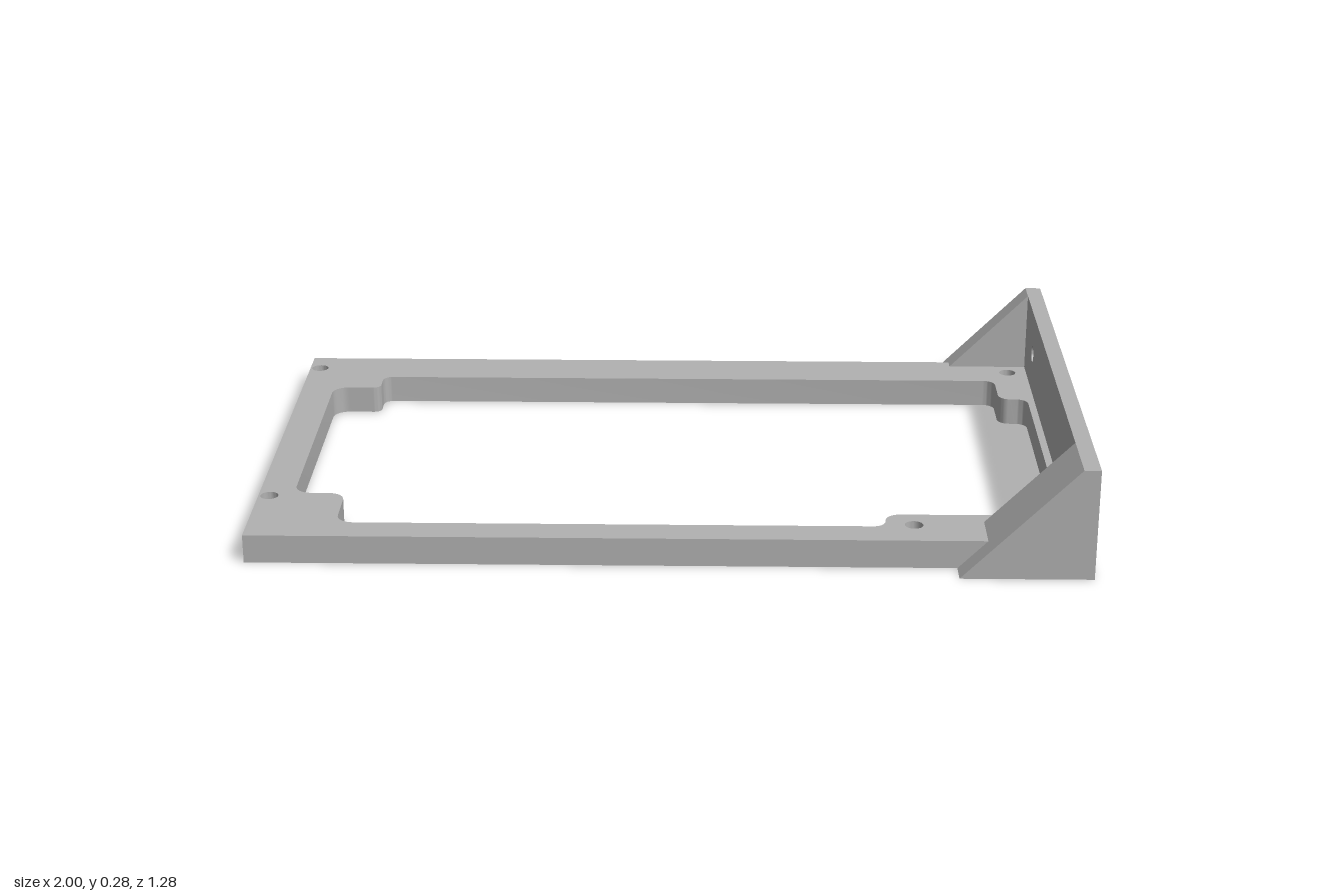
import * as THREE from 'three';
import { toCreasedNormals } from 'three/addons/utils/BufferGeometryUtils.js';

const HALF = 0.638, TOP = 0.276, THICK = 0.07, WALL_X = 0.96;

// Closed path through [x, y, cornerRadius] points, with filleted corners
function roundedPath(points) {
  const path = new THREE.Path();
  const v = points.map(([x, y]) => new THREE.Vector2(x, y));
  const n = v.length;
  points.forEach(([x, y, r], i) => {
    const toward = (p) => p.clone().sub(v[i]).setLength(r).add(v[i]);
    const a = toward(v[(i + n - 1) % n]), b = toward(v[(i + 1) % n]);
    if (i === 0) path.moveTo(a.x, a.y);
    else path.lineTo(a.x, a.y);
    // cubic approximation of a quarter circle
    const k = 0.5523, c = v[i];
    const c1 = a.clone().lerp(c, k), c2 = b.clone().lerp(c, k);
    path.bezierCurveTo(c1.x, c1.y, c2.x, c2.y, b.x, b.y);
  });
  path.closePath();
  return path;
}

const circle = (x, y, r = 0.022) => new THREE.Path().absarc(x, y, r, 0, Math.PI * 2, true);

const polygon = (pts) => new THREE.Shape(pts.map(([x, y]) => new THREE.Vector2(x, y)));

const extrude = (shape, depth) => toCreasedNormals(
  new THREE.ExtrudeGeometry(shape, { depth, bevelEnabled: false, curveSegments: 10 }), 0.6);

export function createModel() {
  const group = new THREE.Group();
  group.name = 'mountingBracket';
  const grey = new THREE.MeshStandardMaterial({ color: 0xb2b2b2 });
  grey.name = 'grey';
  const add = (name, geometry) => {
    const mesh = new THREE.Mesh(geometry, grey);
    mesh.name = name;
    group.add(mesh);
    return mesh;
  };

  // Flat frame, drawn with shape y = -z
  const frame = polygon([[-1, -0.58], [WALL_X, -0.58], [WALL_X, 0.604], [-1, 0.604]]);
  const opening = [
    [-0.79, -0.463, 0.025], [-0.79, -0.382, 0.02], [-0.915, -0.382, 0.04],
    [-0.915, 0.327, 0.04], [-0.79, 0.327, 0.04], [-0.79, 0.5, 0.04],
    [0.52, 0.5, 0.03], [0.52, 0.43, 0.038], [0.942, 0.43, 0.08],
    [0.942, -0.328, 0.03], [0.867, -0.328, 0.03], [0.867, -0.463, 0.03],
  ];
  frame.holes.push(roundedPath(opening.map(([x, z, r]) => [x, -z, r])));
  // Screw holes in the frame
  for (const [x, z] of [[-0.973, -0.527], [-0.973, 0.345], [0.909, -0.527], [0.587, 0.49]])
    frame.holes.push(circle(x, -z));
  add('frame', extrude(frame, THICK).rotateX(-Math.PI / 2));

  // Upright end wall with two holes, drawn with shape x = -z
  const wall = polygon([[-HALF, 0], [HALF, 0], [HALF, TOP], [-HALF, TOP]]);
  for (const z of [0.358, -0.412]) wall.holes.push(circle(-z, 0.168));
  add('endWall', extrude(wall, 1 - WALL_X).rotateY(Math.PI / 2)).position.x = WALL_X;

  // Triangular gussets bracing the wall: thin at the back, thick at the front
  const gusset = polygon([[0.685, 0], [WALL_X, 0], [WALL_X, TOP]]);
  add('backGusset', extrude(gusset, 0.066)).position.z = -HALF;
  add('frontGusset', extrude(gusset, 0.168)).position.z = HALF - 0.168;

  return group;
}
